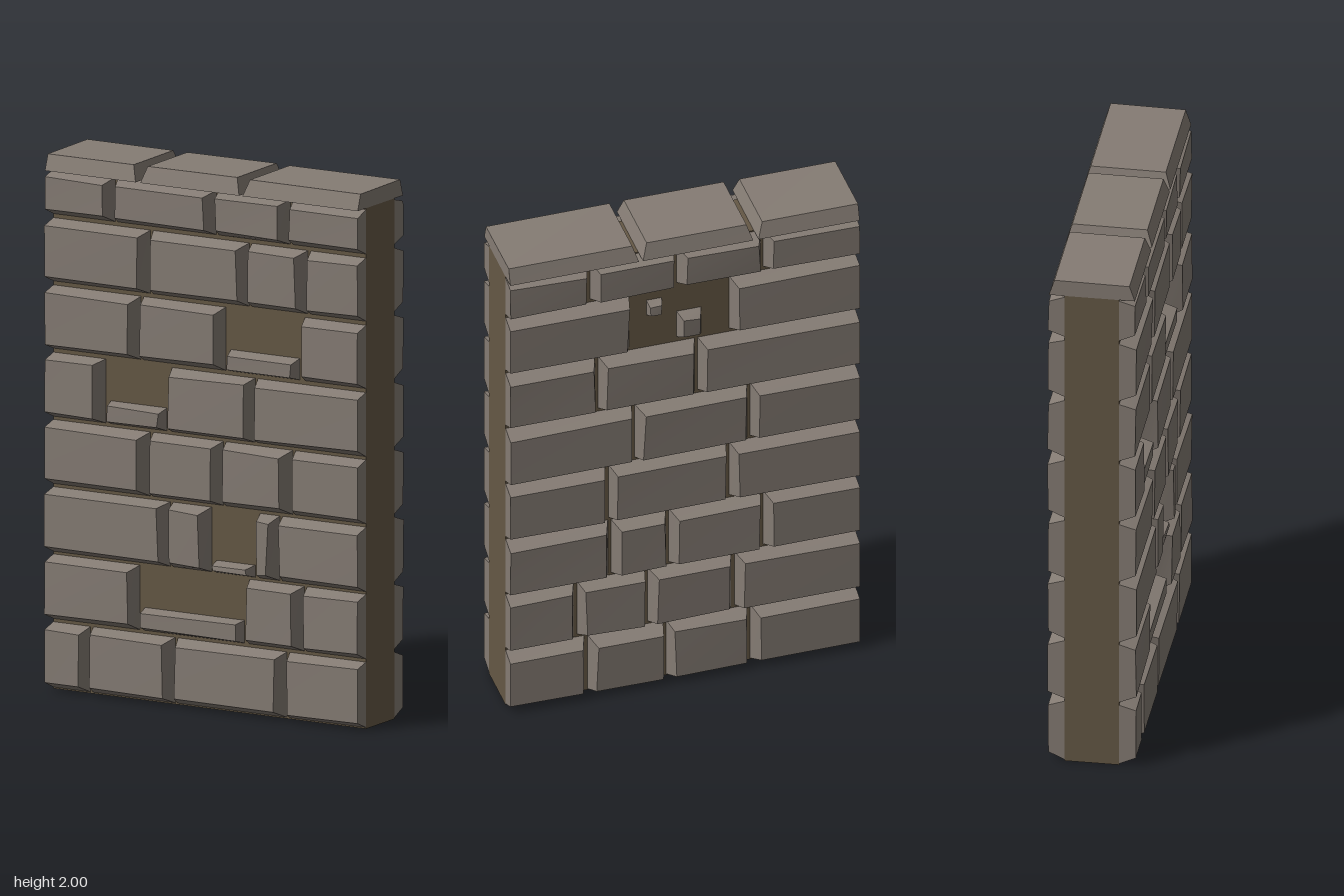
import * as THREE from 'three';

const HALF = 0.665, CORE = 0.1, FACE = 0.161, TOP = 1.935;

let seed = 7;
const rand = () => {
  seed = (seed * 16807) % 2147483647;
  return seed / 2147483647;
};
const jitter = (a) => (rand() * 2 - 1) * a;

// Box whose eight corners are placed by a rule
function cornerBox(rule) {
  const geo = new THREE.BoxGeometry(2, 2, 2);
  const p = geo.attributes.position;
  const corners = {};
  for (let i = 0; i < p.count; i++) {
    const s = [p.getX(i), p.getY(i), p.getZ(i)];
    const c = (corners[s.join()] ??= rule(...s));
    p.setXYZ(i, ...c);
  }
  geo.computeVertexNormals();
  return geo;
}

// Bevelled stone: wide at the wall, narrower at its face, flush at the wall ends
function stoneGeometry(x0, x1, y0, y1, depth = FACE, bevel = 0.026) {
  return cornerBox((sx, sy, sz) => {
    const edge = sx < 0 ? x0 : x1;
    const flush = Math.abs(edge) >= HALF;
    const out = sz > 0;
    const insetX = flush ? 0 : out ? bevel + jitter(0.005) : 0.006;
    const insetY = out ? (sy < 0 ? bevel : bevel * 0.75) + jitter(0.004) : 0;
    return [
      edge - sx * insetX,
      (sy < 0 ? y0 : y1) - sy * insetY,
      out ? depth + jitter(0.003) : CORE,
    ];
  });
}

// Bottom and top of each course
const courses = [
  [0.005, 0.248], [0.26, 0.5], [0.51, 0.75], [0.762, 1.0],
  [1.012, 1.25], [1.265, 1.5], [1.515, 1.75], [1.765, 1.93],
];

// Joints of each course; gap is the index of a missing stone,
// broken is the height left of that stone
const frontCourses = [
  { joints: [-0.5, -0.14, 0.335] },
  { joints: [-0.29, 0.165, 0.41], gap: 1, broken: 0.085 },
  { joints: [-0.16, 0.015, 0.21, 0.305], gap: 2, broken: 0.045 },
  { joints: [-0.245, 0.065, 0.36] },
  { joints: [-0.435, -0.165, 0.2], gap: 1, broken: 0.085 },
  { joints: [-0.285, 0.075, 0.4], gap: 2, broken: 0.08 },
  { joints: [-0.245, 0.175, 0.425] },
  { joints: [-0.395, 0.035, 0.35] },
];
// Back courses run in the turned frame, from the wall's left to its right
const backCourses = [
  { joints: [-0.36, -0.06, 0.26] },
  { joints: [-0.4, -0.13, 0.2] },
  { joints: [-0.27, -0.05, 0.31] },
  { joints: [-0.28, 0.18] },
  { joints: [-0.18, 0.26] },
  { joints: [-0.32, 0.06] },
  { joints: [-0.19, 0.18], gap: 1 },
  { joints: [-0.35, -0.02, 0.31] },
];

function buildSide(name, rows, material) {
  const side = new THREE.Group();
  side.name = name;
  const add = (label, geo) => {
    const mesh = new THREE.Mesh(geo, material);
    mesh.name = label;
    side.add(mesh);
  };
  rows.forEach(({ joints, gap, broken }, r) => {
    const [y0, y1] = courses[r];
    const xs = [-HALF, ...joints, HALF];
    for (let i = 0; i < xs.length - 1; i++) {
      if (i !== gap) add('stone', stoneGeometry(xs[i], xs[i + 1], y0, y1));
      else if (broken) {
        add('brokenStone', stoneGeometry(xs[i] + 0.01, xs[i + 1] - 0.01, y0, y0 + broken, 0.15, 0.016));
      }
    }
  });
  return { side, add };
}

export function createModel() {
  const wall = new THREE.Group();
  wall.name = 'stoneWall';
  const stone = new THREE.MeshStandardMaterial({ color: 0x857c74 });
  stone.name = 'greyStone';
  const mortar = new THREE.MeshStandardMaterial({ color: 0x655845 });
  mortar.name = 'brownMortar';

  // Mortar core
  const core = new THREE.Mesh(new THREE.BoxGeometry(HALF * 2, TOP, CORE * 2), mortar);
  core.name = 'mortarCore';
  core.position.y = TOP / 2;
  wall.add(core);

  // Stone courses on both faces
  wall.add(buildSide('frontStones', frontCourses, stone).side);
  const back = buildSide('backStones', backCourses, stone);
  back.side.rotation.y = Math.PI;
  wall.add(back.side);

  // Fragments left in the gap at the back
  back.add('fragment', stoneGeometry(-0.135, -0.065, 1.645, 1.71, 0.135, 0.014));
  back.add('fragment', stoneGeometry(-0.02, 0.085, 1.52, 1.635, 0.145, 0.022));

  // Coping stones: bottom and top extents along x
  const coping = [
    [-HALF, -0.28, -HALF, -0.3],
    [-0.26, 0.16, -0.24, 0.14],
    [0.175, HALF, 0.195, HALF],
  ];
  for (const [b0, b1, t0, t1] of coping) {
    const geo = cornerBox((sx, sy, sz) => [
      sy < 0 ? (sx < 0 ? b0 : b1) : (sx < 0 ? t0 : t1),
      sy < 0 ? TOP : 1.997 + jitter(0.003),
      sz * (sy < 0 ? 0.158 : 0.138),
    ]);
    const cap = new THREE.Mesh(geo, stone);
    cap.name = 'copingStone';
    wall.add(cap);
  }
  return wall;
}
